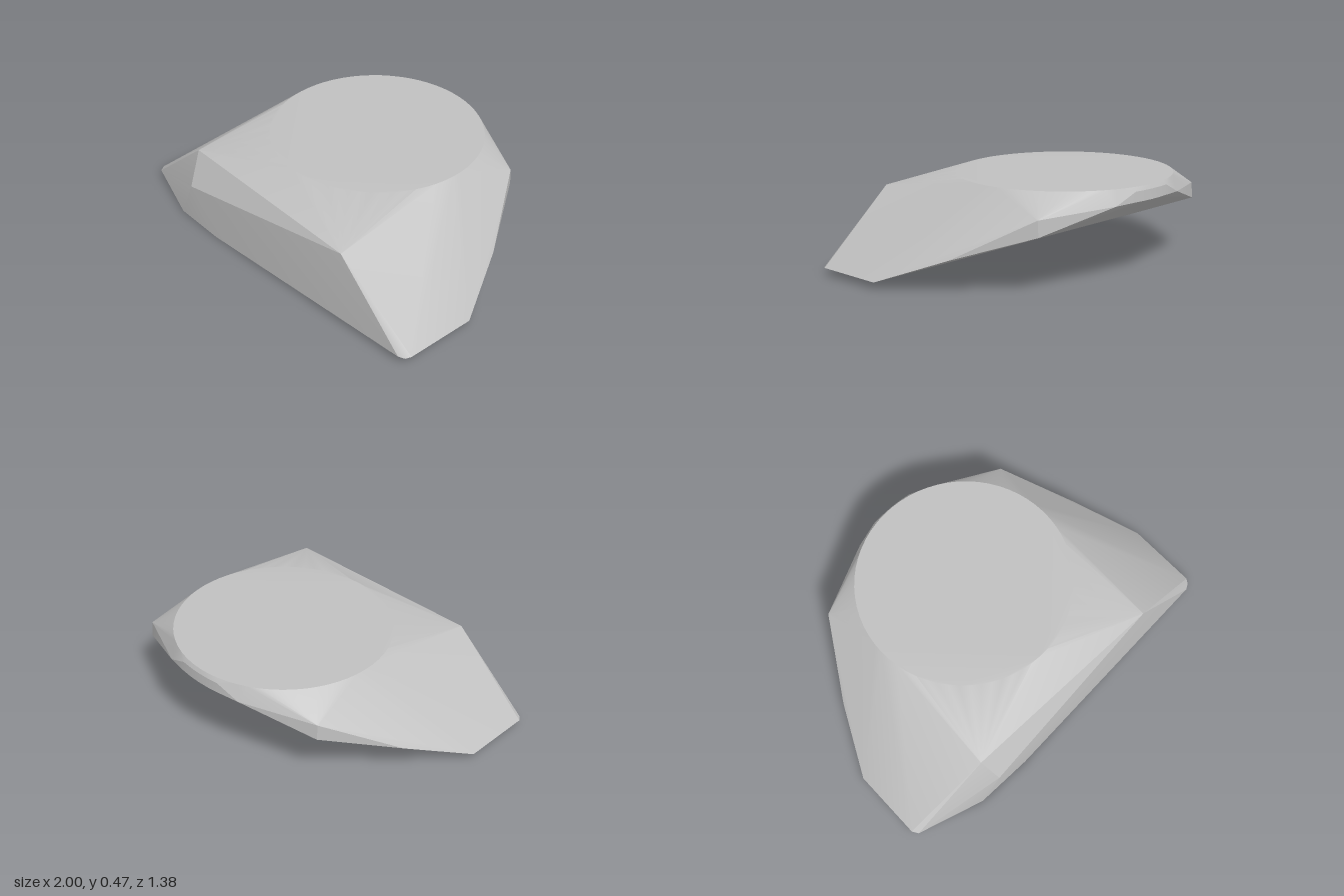
import * as THREE from 'three';
import { ConvexGeometry } from 'three/addons/geometries/ConvexGeometry.js';
import { toCreasedNormals } from 'three/addons/utils/BufferGeometryUtils.js';

export function createModel() {
  const group = new THREE.Group();
  group.name = 'wedgeBlock';
  const grey = new THREE.MeshStandardMaterial({ color: 0xc0c0c0 });
  grey.name = 'plain grey';

  const points = [];
  const add = (x, y, z) => points.push(new THREE.Vector3(x, y, z));
  const pair = (x, y, z) => { add(x, y, z); add(-x, y, z); };

  // Flat round top
  const steps = 64;
  for (let i = 0; i < steps; i++) {
    const a = (i / steps) * Math.PI * 2;
    add(0.553 * Math.sin(a), 0.475, -0.125 + 0.548 * Math.cos(a));
  }

  // Rounded rim at the back, and the lower back edge
  for (const x of [0, 0.06, 0.12]) {
    pair(x, 0.455, -0.684 + x * x * 0.6);
    pair(x, 0.405, -0.688 + x * x * 0.6);
  }
  pair(0.24, 0.4, -0.655);
  pair(0.6, 0.37, -0.49);
  pair(0.6, 0.29, -0.495);

  // Side edges
  pair(0.83, 0.165, -0.14);
  pair(1, 0.035, 0.19);
  pair(1, 0.038, 0.56);

  // Front shoulders and lower corners
  pair(0.56, 0.385, 0.598);
  add(-0.98, 0.035, 0.59);
  add(0.955, 0.035, 0.602);
  add(0.985, 0.032, 0.585);

  // Off-centre bulge of the front face
  add(-0.52, 0.22, 0.688);
  add(-0.63, 0, 0.685);
  add(-0.33, 0, 0.685);

  const geometry = toCreasedNormals(new ConvexGeometry(points), THREE.MathUtils.degToRad(20));
  const body = new THREE.Mesh(geometry, grey);
  body.name = 'body';
  group.add(body);
  return group;
}
